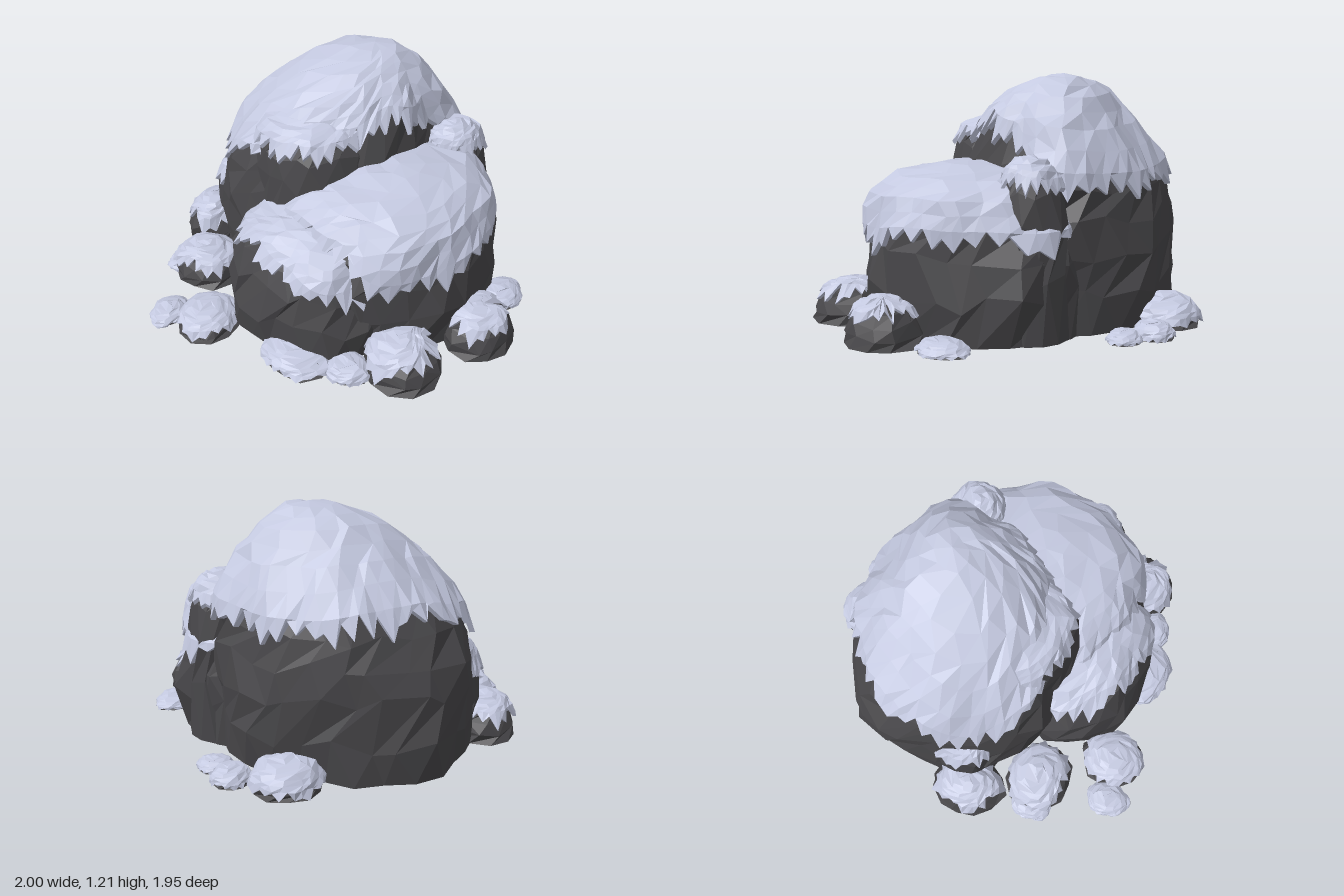
import * as THREE from 'three';

const stone = new THREE.MeshStandardMaterial({ color: 0x48474a });
stone.name = 'dark stone';
const snow = new THREE.MeshStandardMaterial({ color: 0xc4c9e0 });
snow.name = 'snow';

// Seeded random numbers
let seed = 7;
const rand = () => {
  seed = (seed * 16807) % 2147483647;
  return seed / 2147483647;
};

// Smooth value around a closed ring of samples, u in 0..1
function around(list, u) {
  const n = list.length, f = (((u % 1) + 1) % 1) * n, i = Math.floor(f), k = f - i;
  const s = k * k * (3 - 2 * k);
  return list[i % n] * (1 - s) + list[(i + 1) % n] * s;
}

// Faceted skin over a closed grid of points, rows running downwards
function skin(rows, cols, point) {
  const pts = [], pos = [];
  for (let i = 0; i < rows; i++) for (let j = 0; j < cols; j++) pts.push(new THREE.Vector3(...point(i, j)));
  const face = (...ids) => {
    const [a, b, c] = ids.map((n) => pts[n]);
    if (a.equals(b) || b.equals(c) || c.equals(a)) return;
    pos.push(...a, ...b, ...c);
  };
  for (let i = 0; i < rows - 1; i++) {
    for (let j = 0; j < cols; j++) {
      const a = i * cols + j, b = i * cols + (j + 1) % cols, c = b + cols, d = a + cols;
      face(a, b, c);
      face(a, c, d);
    }
  }
  const g = new THREE.BufferGeometry();
  g.setAttribute('position', new THREE.Float32BufferAttribute(pos, 3));
  g.computeVertexNormals();
  return g;
}

// A boulder: outline radii by angle (from +x towards +z), levels of
// [height, scale, shiftX, shiftZ] from top to bottom, snow edge heights by angle
function boulder({ name, x, z, outline, levels, edge, cols, snowCols, thick, rough, teeth }) {
  const group = new THREE.Group();
  group.name = name;
  const last = levels.length - 1, height = levels[0][0];
  const phase = rand() * 6;

  const surface = (u, t) => {
    const i = Math.min(Math.floor(t), last - 1), k = t - i;
    const [y, s, dx, dz] = levels[i].map((v, n) => v + (levels[i + 1][n] - v) * k);
    const a = u * Math.PI * 2;
    const lump = 1 + 0.025 * Math.sin(a * 5 + y * 7 / height + phase) + 0.02 * Math.sin(a * 9 - y * 9 / height);
    const r = around(outline, u) * s * lump;
    return [x + dx + Math.cos(a) * r, y, z + dz + Math.sin(a) * r];
  };
  const levelAt = (y) => {
    for (let i = 0; i < last; i++) {
      if (y >= levels[i + 1][0]) return Math.max(0, i + (levels[i][0] - y) / (levels[i][0] - levels[i + 1][0]));
    }
    return last;
  };

  // Stone body with chipped facets and a closed flat base
  const body = skin(last + 2, cols, (i, j) => {
    if (i > last) return [x, 0, z];
    const jig = i > 0 && i < last ? 0.6 : 0;
    const u = (j + (rand() - 0.5) * jig + (i % 2) * 0.5) / cols;
    const p = surface(u, Math.min(i + (rand() - 0.5) * jig * 0.8, last));
    const chip = i > 0 ? 1 - rand() * rough : 1;
    return [x + (p[0] - x) * chip, p[1], z + (p[2] - z) * chip];
  });
  const stoneMesh = new THREE.Mesh(body, stone);
  stoneMesh.name = name + 'Stone';
  group.add(stoneMesh);

  // Snow cap: offset shell with broad facets on top and a ragged rim tucked back to the stone
  const rings = 8;
  const tips = Array.from({ length: snowCols }, (_, j) =>
    teeth * ((j % 2 ? 0.1 + rand() * 0.9 : -rand() * 0.6) + 0.4 * Math.sin(j * 0.9 + phase)));
  const jitter = Array.from({ length: rings * snowCols }, () => rand() - 0.5);
  const cap = skin(rings + 2, snowCols, (i, j) => {
    const step = i < 3 ? 8 : i < 5 ? 4 : i < 7 ? 2 : 1;
    const col = Math.floor(j / step) * step;
    const wobble = i > 0 && i < rings ? jitter[i * snowCols + col] : 0;
    const u = (col + (i < rings - 1 ? wobble * 0.6 * step : 0)) / snowCols;
    const rim = around(edge, u);
    const tip = Math.max(0.004, rim - tips[col]);
    const upper = levelAt(Math.min(rim + teeth * 0.7, height));
    const t = i < rings ? upper * i / (rings - 1) : levelAt(tip);
    const p = surface(u, t);
    const out = new THREE.Vector3(p[0] - x, p[1] - height * 0.45, p[2] - z).normalize();
    const h = i > rings ? -0.3 * thick : i === rings ? 0.75 * thick : thick * (1 + wobble * 0.7);
    return [p[0] + out.x * h, Math.max(0, p[1] + out.y * h), p[2] + out.z * h];
  });
  const snowMesh = new THREE.Mesh(cap, snow);
  snowMesh.name = name + 'Snow';
  group.add(snowMesh);
  return group;
}

// A small dome-shaped boulder with its own uneven outline
function smallBoulder(name, x, z, rx, rz, h, edgeShare) {
  const thick = Math.min(0.018, h * 0.14), top = h - thick;
  const outline = Array.from({ length: 9 }, (_, i) => {
    const a = i / 9 * Math.PI * 2;
    return (rx * rz / Math.hypot(rz * Math.cos(a), rx * Math.sin(a))) * (0.92 + rand() * 0.14);
  });
  return boulder({
    name, x, z, outline, cols: 11, snowCols: 32, thick, rough: 0.05, teeth: h * 0.2,
    levels: [[top, 0, 0, 0], [top * 0.96, 0.35, 0, 0], [top * 0.82, 0.64, 0, 0],
      [top * 0.55, 0.84, 0, 0], [top * 0.25, 0.96, 0, 0], [0, 1, 0, 0]],
    edge: Array.from({ length: 7 }, () => h * edgeShare * (0.75 + rand() * 0.5)),
  });
}

export function createModel() {
  seed = 7;
  const model = new THREE.Group();
  model.name = 'snowyRocks';

  // Tall rear boulder
  model.add(boulder({
    name: 'tallBoulder', x: -0.22, z: -0.17, cols: 26, snowCols: 80, thick: 0.026, rough: 0.04, teeth: 0.07,
    outline: [0.6, 0.58, 0.58, 0.59, 0.63, 0.61, 0.63, 0.66, 0.61, 0.6, 0.66, 0.71],
    levels: [[1.185, 0, 0.18, -0.1], [1.165, 0.21, 0.18, -0.09], [1.11, 0.38, 0.15, -0.05], [1.02, 0.55, 0.12, -0.01],
      [0.93, 0.67, 0.09, 0.005], [0.8, 0.81, 0.05, 0], [0.68, 0.89, 0.02, 0], [0.55, 0.96, 0, 0], [0.4, 1, 0, 0],
      [0.2, 1, 0, 0], [0, 0.95, 0, 0]],
    edge: [0.92, 0.97, 0.9, 0.84, 0.74, 0.6, 0.7, 0.76, 0.74, 0.7, 0.7, 0.72],
  }));

  // Low ledge on the outer side of the tall boulder
  model.add(boulder({
    name: 'sideLedge', x: -0.64, z: 0.03, cols: 14, snowCols: 40, thick: 0.02, rough: 0.04, teeth: 0.06,
    outline: [0.18, 0.2, 0.2, 0.2, 0.19, 0.2, 0.2, 0.2],
    levels: [[0.53, 0, 0.03, -0.02], [0.51, 0.4, 0.03, -0.02], [0.46, 0.72, 0.01, 0], [0.38, 0.92, 0, 0],
      [0.25, 1, 0, 0], [0, 0.95, 0, 0]],
    edge: [0.42, 0.42, 0.42, 0.38, 0.37, 0.4],
  }));

  // Broad boulder on the front left side
  model.add(boulder({
    name: 'broadBoulder', x: 0.2, z: 0.1, cols: 26, snowCols: 72, thick: 0.026, rough: 0.04, teeth: 0.07,
    outline: [0.6, 0.58, 0.58, 0.57, 0.55, 0.55, 0.55, 0.5, 0.55, 0.68, 0.71, 0.63],
    levels: [[0.765, 0, 0.1, -0.03], [0.75, 0.32, 0.1, -0.03], [0.71, 0.6, 0.08, -0.01], [0.64, 0.77, 0.05, 0],
      [0.53, 0.88, 0.02, 0], [0.4, 0.95, 0, 0], [0.2, 1, 0, 0], [0, 0.96, 0, 0]],
    edge: [0.48, 0.43, 0.42, 0.57, 0.57, 0.52, 0.5, 0.45, 0.45, 0.48, 0.47, 0.48],
  }));

  // Lower ledge in front of the broad boulder
  model.add(boulder({
    name: 'frontLedge', x: 0.02, z: 0.4, cols: 22, snowCols: 64, thick: 0.022, rough: 0.04, teeth: 0.065,
    outline: [0.48, 0.46, 0.39, 0.44, 0.48, 0.36, 0.35, 0.4],
    levels: [[0.595, 0, 0.05, -0.02], [0.585, 0.36, 0.05, -0.02], [0.54, 0.63, 0.03, -0.01], [0.47, 0.78, 0.01, 0],
      [0.35, 0.92, 0, 0], [0.2, 1.01, 0, 0], [0, 0.97, 0, 0]],
    edge: [0.37, 0.37, 0.44, 0.48, 0.41, 0.4, 0.4, 0.4],
  }));

  // Shoulder in front of the tall boulder
  model.add(boulder({
    name: 'shoulder', x: -0.15, z: 0.14, cols: 16, snowCols: 48, thick: 0.022, rough: 0.05, teeth: 0.05,
    outline: [0.33, 0.31, 0.28, 0.3, 0.36, 0.33, 0.34, 0.3],
    levels: [[0.965, 0, 0, -0.04], [0.955, 0.45, 0, -0.03], [0.92, 0.72, 0, -0.01], [0.84, 0.88, 0, 0],
      [0.7, 0.98, 0, 0], [0.4, 1.03, 0, 0], [0, 1, 0, 0]],
    edge: [0.88, 0.87, 0.85, 0.81, 0.75, 0.82],
  }));

  // Side knob behind the broad boulder
  model.add(boulder({
    name: 'sideKnob', x: 0.41, z: -0.34, cols: 14, snowCols: 40, thick: 0.02, rough: 0.05, teeth: 0.04,
    outline: [0.17, 0.16, 0.16, 0.18, 0.2, 0.19, 0.2, 0.19],
    levels: [[0.835, 0, 0, 0], [0.82, 0.4, 0, 0], [0.78, 0.66, 0, 0], [0.7, 0.85, 0, 0],
      [0.55, 1, 0, 0], [0.3, 1, 0, 0], [0, 1, 0, 0]],
    edge: [0.74, 0.72, 0.72, 0.7, 0.72],
  }));

  // Scattered boulders around the foot: x, z, half width, half depth, height, snow edge share
  [
    ['leftBoulder', -0.83, 0.12, 0.17, 0.21, 0.22, 0.6],
    ['frontLeftBoulder', -0.64, 0.45, 0.21, 0.18, 0.18, 0.5],
    ['frontBoulder', -0.39, 0.785, 0.165, 0.17, 0.115, 0.5],
    ['frontPebble', -0.6, 0.84, 0.09, 0.12, 0.06, 0.12],
    ['frontDrift', 0.13, 0.77, 0.2, 0.14, 0.09, 0.2],
    ['frontDriftSmall', 0.4, 0.72, 0.11, 0.1, 0.08, 0.2],
    ['frontRightBoulder', 0.61, 0.56, 0.2, 0.22, 0.205, 0.58],
    ['rightBoulder', 0.83, 0.19, 0.175, 0.21, 0.215, 0.62],
    ['rightPebble', 0.82, -0.14, 0.1, 0.14, 0.07, 0.12],
    ['leftPebble', -0.79, 0.47, 0.08, 0.11, 0.06, 0.15],
    ['backBoulder', -0.14, -0.8, 0.18, 0.17, 0.15, 0.25],
    ['backPebble', 0.12, -0.85, 0.09, 0.1, 0.085, 0.2],
    ['backPebbleSmall', 0.25, -0.76, 0.09, 0.08, 0.06, 0.15],
  ].forEach((r) => model.add(smallBoulder(...r)));

  return model;
}
